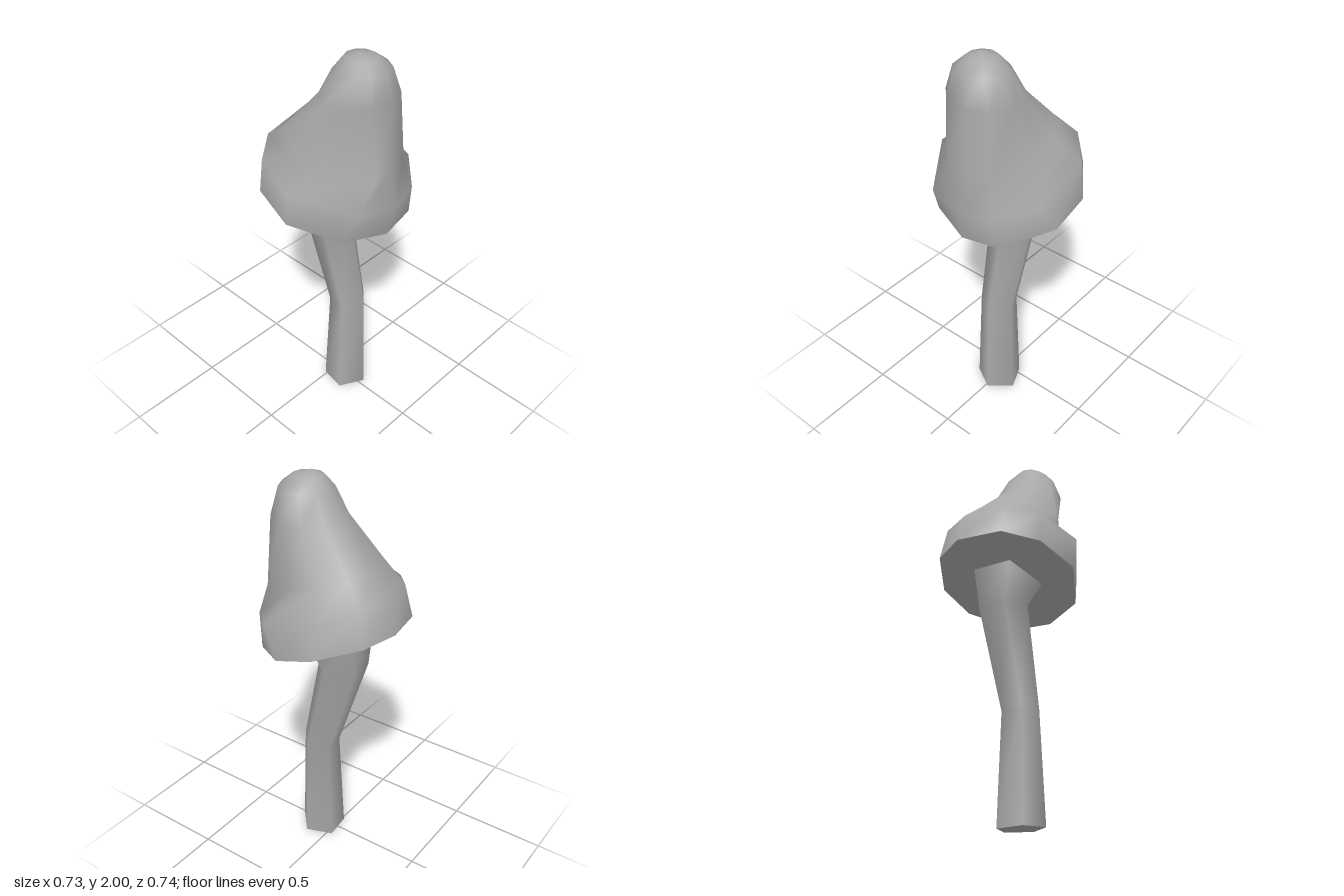
import * as THREE from 'three';

// Skin between closed rings of [x, y, z] points; smooth across the whole skin.
function loft(rings, apex) {
  const n = rings[0].length;
  const pos = rings.flat(2);
  const index = [];
  for (let r = 0; r < rings.length - 1; r++) {
    for (let i = 0; i < n; i++) {
      const j = (i + 1) % n;
      const a = r * n + i, b = r * n + j, c = a + n, d = b + n;
      index.push(a, c, b, b, c, d);
    }
  }
  if (apex) {
    const top = rings.length * n, base = top - n;
    pos.push(...apex);
    for (let i = 0; i < n; i++) index.push(base + i, top, base + (i + 1) % n);
  }
  return toGeometry(pos, index);
}

// Flat disc facing down, closing a ring from below.
function underside(ring) {
  const n = ring.length;
  const centre = [0, 1, 2].map(k => ring.reduce((s, p) => s + p[k], 0) / n);
  const index = [];
  for (let i = 0; i < n; i++) index.push(n, i, (i + 1) % n);
  return toGeometry([...ring.flat(), ...centre], index);
}

function toGeometry(pos, index) {
  const g = new THREE.BufferGeometry();
  g.setAttribute('position', new THREE.Float32BufferAttribute(pos, 3));
  g.setIndex(index);
  g.computeVertexNormals();
  return g;
}

// Regular or elliptical ring lying on a plane tilted along z.
function ovalRing(sides, startDeg, cx, cy, cz, rx, rz, slope) {
  return Array.from({ length: sides }, (_, i) => {
    const a = THREE.MathUtils.degToRad(startDeg + i * 360 / sides);
    const z = rz * Math.sin(a);
    return [cx + rx * Math.cos(a), cy + slope * z, cz + z];
  });
}

// Irregular ring from [x, z] points on a plane tilted along z.
const tiltedRing = (points, y0, slope) => points.map(([x, z]) => [x, y0 + slope * z, z]);

export function createModel() {
  const group = new THREE.Group();
  group.name = 'mushroom';
  const grey = new THREE.MeshStandardMaterial({ color: 0xa8a8a8 });
  grey.name = 'grey';
  const add = (name, geometry) => {
    const mesh = new THREE.Mesh(geometry, grey);
    mesh.name = name;
    group.add(mesh);
  };

  // Five-sided stem: leans back, then flares into the cap
  const stem = [
    [0.009, 0.011, 0.077, 0.119, 0.06],
    [0.013, 0.575, 0.08, 0.096, 0.12],
    [0.013, 1.08, -0.056, 0.127, 0.1],
    [0.013, 1.235, -0.02, 0.18, -0.3],
  ].map(([x, y, z, r, slope]) => ovalRing(5, 12, x, y, z, r, r, slope));
  add('stem', loft(stem));
  add('stemBase', underside(stem[0]));

  // Ten-sided cap: lumpy lower rings, rounder rings towards the tip
  const rim = tiltedRing([
    [0.36, 0.08], [0.2, 0.295], [0, 0.33], [-0.22, 0.25], [-0.36, 0.03],
    [-0.32, -0.185], [-0.185, -0.32], [0.05, -0.368], [0.22, -0.31], [0.36, -0.12],
  ], 1.235, -0.304);
  const bulge = tiltedRing([
    [0.325, 0.175], [0.175, 0.325], [0.005, 0.367], [-0.185, 0.318], [-0.367, 0.055],
    [-0.31, -0.17], [-0.17, -0.28], [0.05, -0.32], [0.2, -0.28], [0.335, -0.13],
  ], 1.412, -0.304);
  const waist = tiltedRing([
    [0.215, 0.08], [0.145, 0.29], [0.03, 0.315], [-0.09, 0.32], [-0.21, 0.11],
    [-0.285, 0], [-0.18, -0.15], [0.03, -0.21], [0.15, -0.18], [0.24, -0.07],
  ], 1.55, -0.3);
  const cap = [
    rim, bulge, waist,
    ovalRing(10, 12, 0, 1.8, 0.14, 0.19, 0.175, 0.05),
    ovalRing(10, 12, -0.005, 1.93, 0.16, 0.133, 0.128, 0.05),
    ovalRing(10, 12, -0.01, 1.982, 0.155, 0.072, 0.075, 0),
  ];
  add('cap', loft(cap, [-0.02, 2, 0.15]));
  add('capUnderside', underside(rim));

  return group;
}
